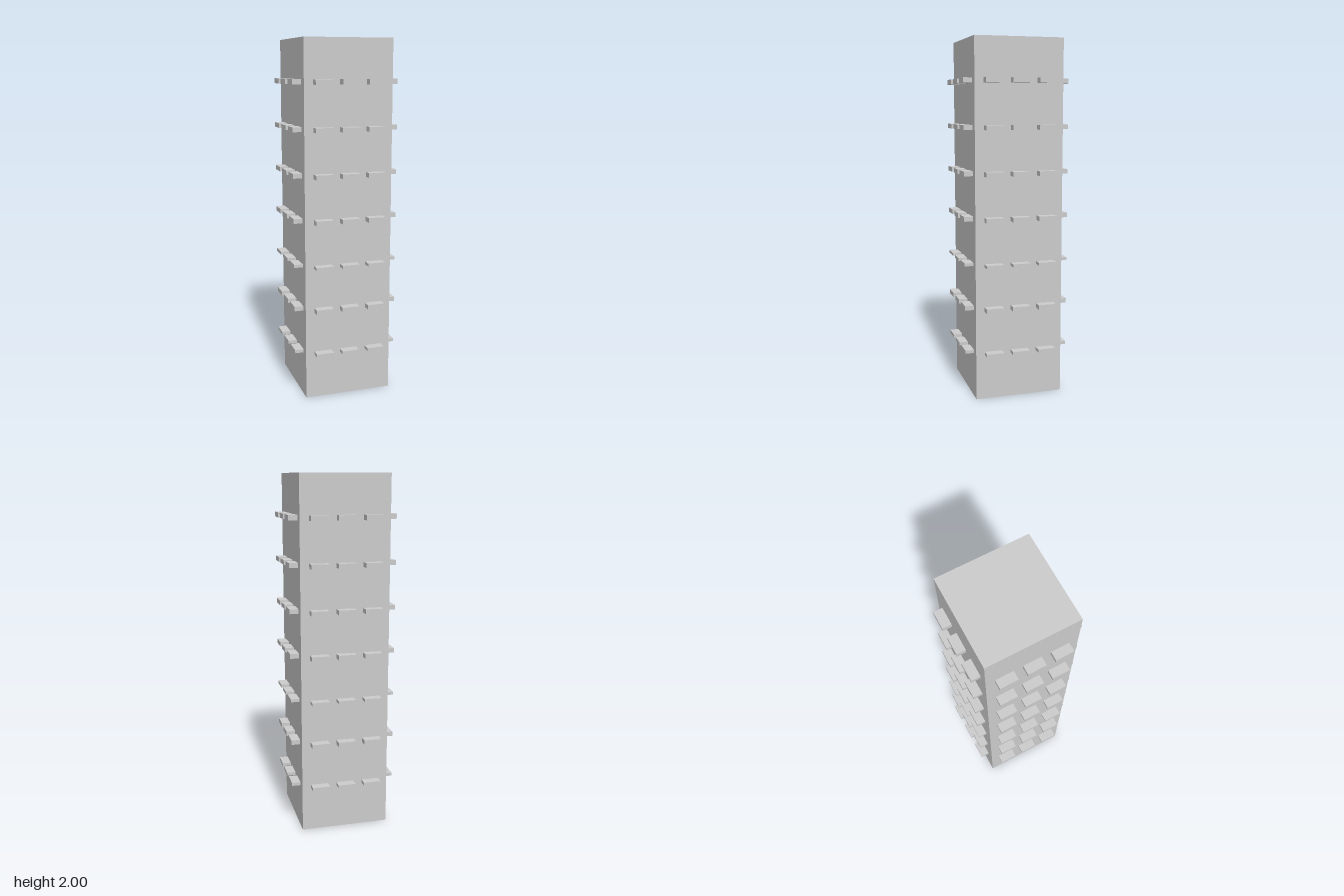
import * as THREE from 'three';

export function createModel() {
  const model = new THREE.Group();
  model.name = 'tower';
  const material = new THREE.MeshStandardMaterial({ color: 0xcccccc, flatShading: true });

  // Square shaft
  const shaft = new THREE.Mesh(new THREE.BoxGeometry(0.5, 2, 0.5), material);
  shaft.name = 'shaft';
  shaft.position.y = 1;
  model.add(shaft);

  // Ledge rows: underside height and thickness, bottom to top
  const rows = [
    [0.255, 0.018], [0.505, 0.026], [0.757, 0.017], [1.007, 0.026],
    [1.256, 0.026], [1.506, 0.026], [1.756, 0.028],
  ];
  const sides = ['front', 'left', 'back', 'right'];

  // Three ledges per row, repeated around the four faces
  sides.forEach((side, i) => {
    const face = new THREE.Group();
    face.name = `${side}Ledges`;
    face.rotation.y = (i * Math.PI) / 2;
    for (const [y, height] of rows) {
      const geometry = new THREE.BoxGeometry(0.1, height, 0.05);
      for (const x of [-0.15, 0, 0.15]) {
        const ledge = new THREE.Mesh(geometry, material);
        ledge.name = 'ledge';
        ledge.position.set(x, y + height / 2, 0.275);
        face.add(ledge);
      }
    }
    model.add(face);
  });

  return model;
}
